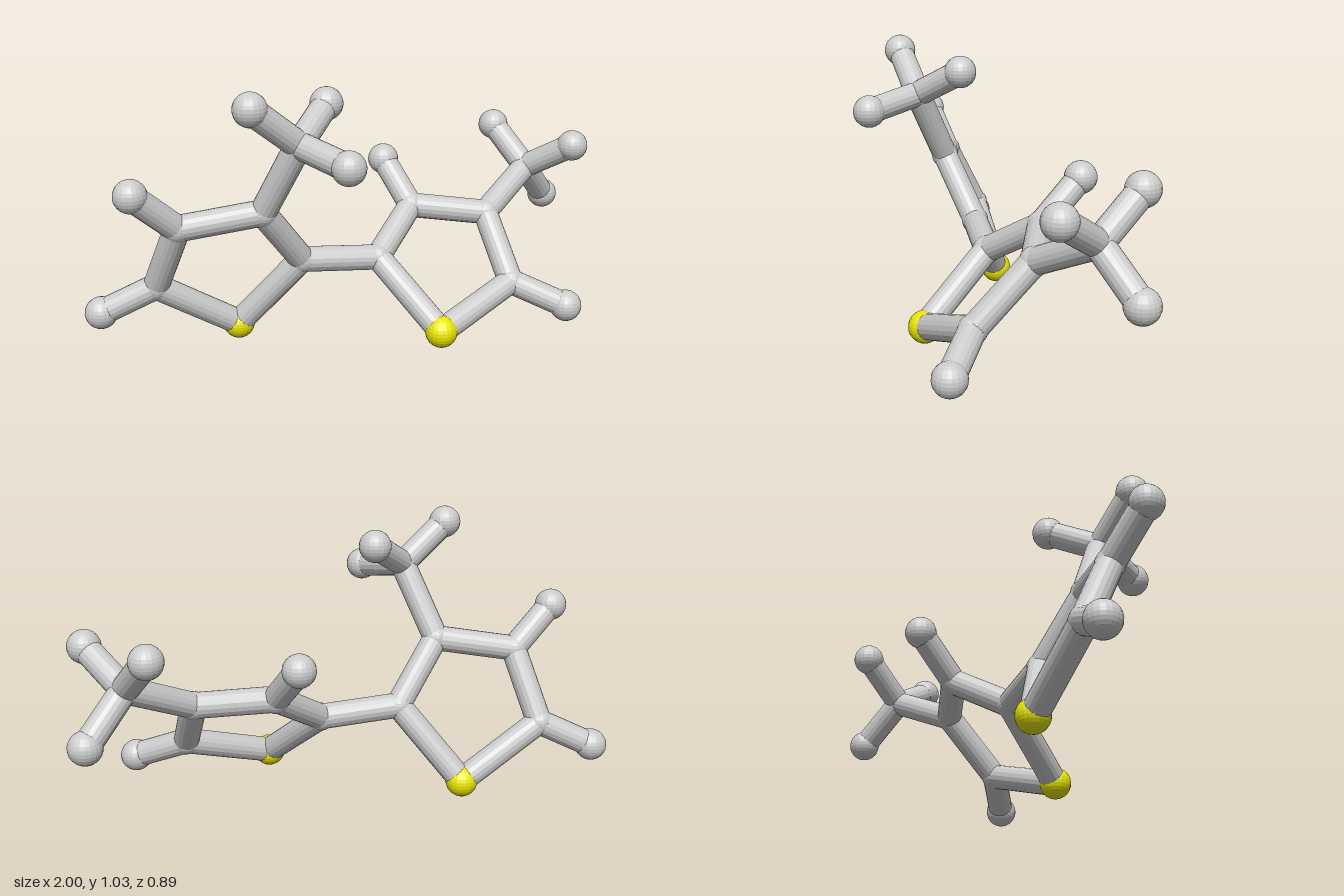
import * as THREE from 'three';

const BOND_RADIUS = 0.048;
const TIP_RADIUS = 0.06;
const JOINT_RADIUS = 0.052;

// Each half: a five-sided ring with its side atoms.
const LEFT = {
  sulfur: [-0.43, 0.06, -0.146],
  bridge: [-0.212, 0.335, -0.02],
  branch: [-0.38, 0.562, 0.072],
  upper: [-0.675, 0.518, 0.018],
  lower: [-0.742, 0.26, -0.112],
  upperTip: [-0.837, 0.668, 0.07],
  lowerTip: [-0.94, 0.167, -0.153],
  methyl: [-0.277, 0.83, 0.191],
  methylTips: [[-0.454, 0.975, 0.237], [-0.134, 0.933, 0.049], [-0.163, 0.79, 0.387]],
  ring: ['sulfur', 'bridge', 'branch', 'upper', 'lower'],
};
const RIGHT = {
  sulfur: [0.243, 0.087, 0.24],
  bridge: [0.084, 0.31, -0.013],
  upper: [0.275, 0.45, -0.168],
  branch: [0.558, 0.417, -0.083],
  lower: [0.576, 0.2, 0.125],
  upperTip: [0.217, 0.603, -0.325],
  lowerTip: [0.762, 0.116, 0.229],
  methyl: [0.797, 0.545, -0.227],
  methylTips: [[0.725, 0.69, -0.387], [0.922, 0.659, -0.073], [0.936, 0.387, -0.328]],
  ring: ['sulfur', 'bridge', 'upper', 'branch', 'lower'],
};

export function createModel() {
  const model = new THREE.Group();
  model.name = 'molecule';
  const grey = new THREE.MeshStandardMaterial({ color: 0xcccccc, flatShading: true });
  const yellow = new THREE.MeshStandardMaterial({ color: 0xe8e600, flatShading: true });

  const ball = (parent, name, p, radius, material = grey) => {
    const mesh = new THREE.Mesh(new THREE.SphereGeometry(radius, 20, 14), material);
    mesh.position.set(...p);
    mesh.name = name;
    parent.add(mesh);
  };

  // Rod from point to point
  const bond = (parent, name, from, to) => {
    const a = new THREE.Vector3(...from), b = new THREE.Vector3(...to);
    const dir = b.clone().sub(a);
    const mesh = new THREE.Mesh(
      new THREE.CylinderGeometry(BOND_RADIUS, BOND_RADIUS, dir.length(), 18), grey);
    mesh.position.copy(a).add(b).multiplyScalar(0.5);
    mesh.quaternion.setFromUnitVectors(new THREE.Vector3(0, 1, 0), dir.normalize());
    mesh.name = name;
    parent.add(mesh);
  };

  const buildHalf = (name, h) => {
    const group = new THREE.Group();
    group.name = name;
    model.add(group);

    // Ring
    h.ring.forEach((key, i) => {
      bond(group, 'ringBond', h[key], h[h.ring[(i + 1) % h.ring.length]]);
      if (key === 'sulfur') ball(group, 'sulfurAtom', h[key], TIP_RADIUS, yellow);
      else ball(group, 'carbonAtom', h[key], JOINT_RADIUS);
    });

    // Hydrogens on the ring
    for (const key of ['upper', 'lower']) {
      bond(group, 'hydrogenBond', h[key], h[key + 'Tip']);
      ball(group, 'hydrogenAtom', h[key + 'Tip'], TIP_RADIUS);
    }

    // Methyl branch with three hydrogens
    bond(group, 'methylBond', h.branch, h.methyl);
    ball(group, 'methylCarbon', h.methyl, JOINT_RADIUS);
    for (const tip of h.methylTips) {
      bond(group, 'hydrogenBond', h.methyl, tip);
      ball(group, 'hydrogenAtom', tip, TIP_RADIUS);
    }
  };

  buildHalf('rightHalf', LEFT);
  buildHalf('leftHalf', RIGHT);

  // Bond joining the two rings
  bond(model, 'bridgeBond', LEFT.bridge, RIGHT.bridge);
  return model;
}
